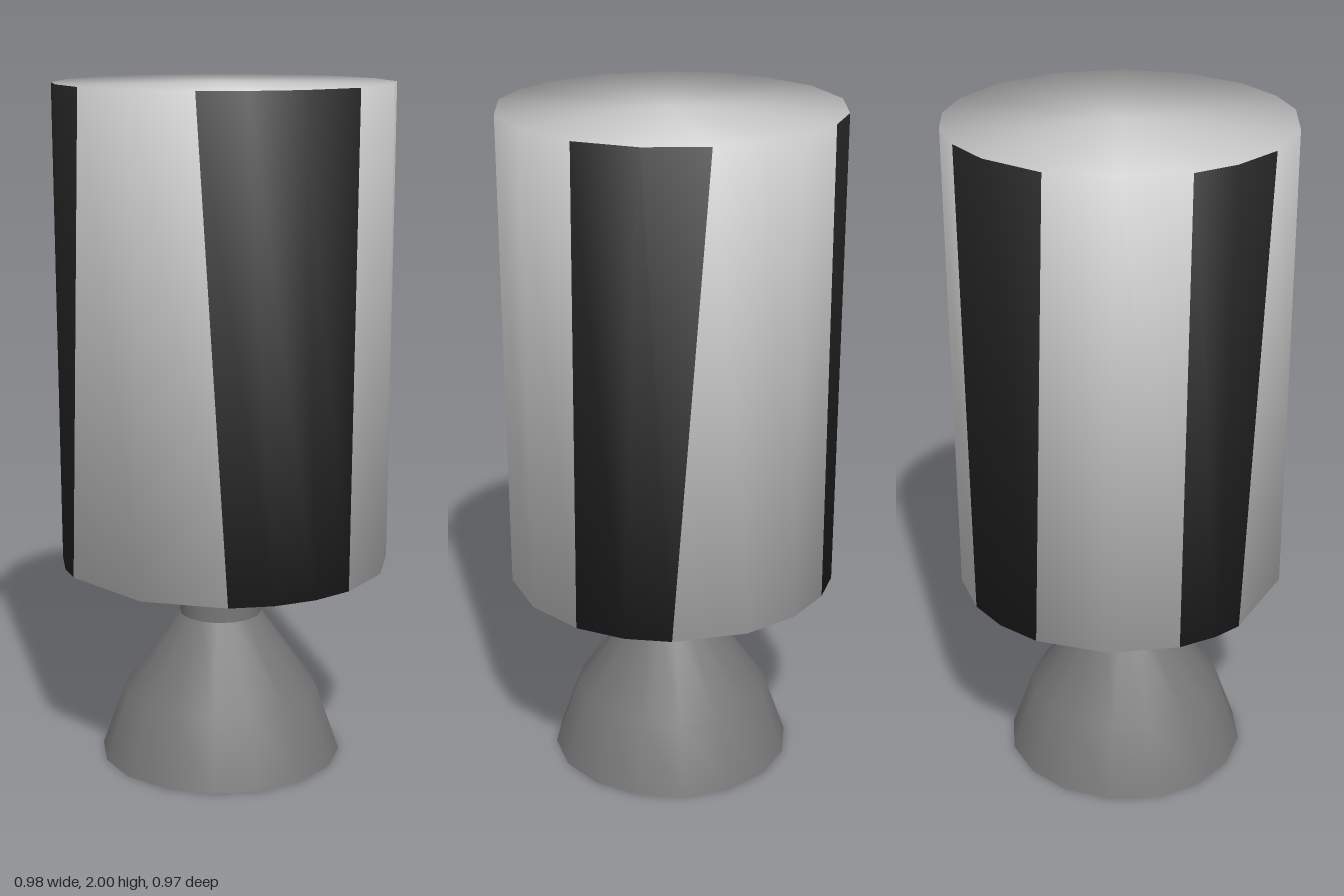
import * as THREE from 'three';

const TOP = 2, BASE = 0.6;
// Angles in degrees of the tank's corners, from +x towards +z
const topAngles = [-6, 15.5, 38, 60.5, 83.5, 106, 123.7, 140, 162, 184.7, 203, 218.4, 241.6, 264, 286.4, 303.4, 321, 337];
const baseAngles = [6, 22, 40, 62, 84.7, 99.6, 114.5, 130, 160, 195.5, 206, 220, 245, 270, 286, 301, 320, 340];
const darkSides = new Set([0, 1, 4, 5, 6, 9, 10, 13, 14]);
const count = topAngles.length;

// Two rings of corners plus the two cap centres, with softly rounded rim normals
function tankGeometry(index) {
  const position = [], normal = [];
  const ring = (angles, radius, y, ny) => {
    for (const degrees of angles) {
      const a = THREE.MathUtils.degToRad(degrees);
      position.push(radius * Math.cos(a), y, radius * Math.sin(a));
      normal.push(0.87 * Math.cos(a), ny, 0.87 * Math.sin(a));
    }
  };
  ring(topAngles, 0.49, TOP, 0.5);
  ring(baseAngles, 0.484, BASE, -0.5);
  position.push(0, TOP, 0, 0, BASE, 0);
  normal.push(0, 1, 0, 0, -1, 0);
  const geometry = new THREE.BufferGeometry();
  geometry.setAttribute('position', new THREE.Float32BufferAttribute(position, 3));
  geometry.setAttribute('normal', new THREE.Float32BufferAttribute(normal, 3));
  geometry.setIndex(index);
  return geometry;
}

export function createModel() {
  const model = new THREE.Group();
  const light = new THREE.MeshStandardMaterial({ color: 0xcccccc });
  const dark = new THREE.MeshStandardMaterial({ color: 0x222222 });
  const metal = new THREE.MeshStandardMaterial({ color: 0x777777, side: THREE.DoubleSide });

  const add = (name, geometry, material) => {
    const mesh = new THREE.Mesh(geometry, material);
    mesh.name = name;
    model.add(mesh);
    return mesh;
  };

  // Tank: side panels sorted into light shell and dark stripes, plus flat caps
  const shell = [], stripes = [];
  for (let i = 0; i < count; i++) {
    const j = (i + 1) % count;
    const b0 = count + i, b1 = count + j;
    (darkSides.has(i) ? stripes : shell).push(b0, i, j, b0, j, b1);
    shell.push(2 * count, j, i, 2 * count + 1, b0, b1);
  }
  add('tankShell', tankGeometry(shell), light);
  add('tankStripes', tankGeometry(stripes), dark);

  // Engine: neck and open flared bell
  const lathe = (points) => new THREE.LatheGeometry(points.map(([r, y]) => new THREE.Vector2(r, y)), 16);
  add('engineNeck', lathe([[0.122, 0.435], [0.122, BASE]]), metal).position.x = -0.017;
  add('engineBell', lathe([[0.36, 0], [0.29, 0.2], [0.122, 0.435]]), metal).position.x = -0.017;

  return model;
}
